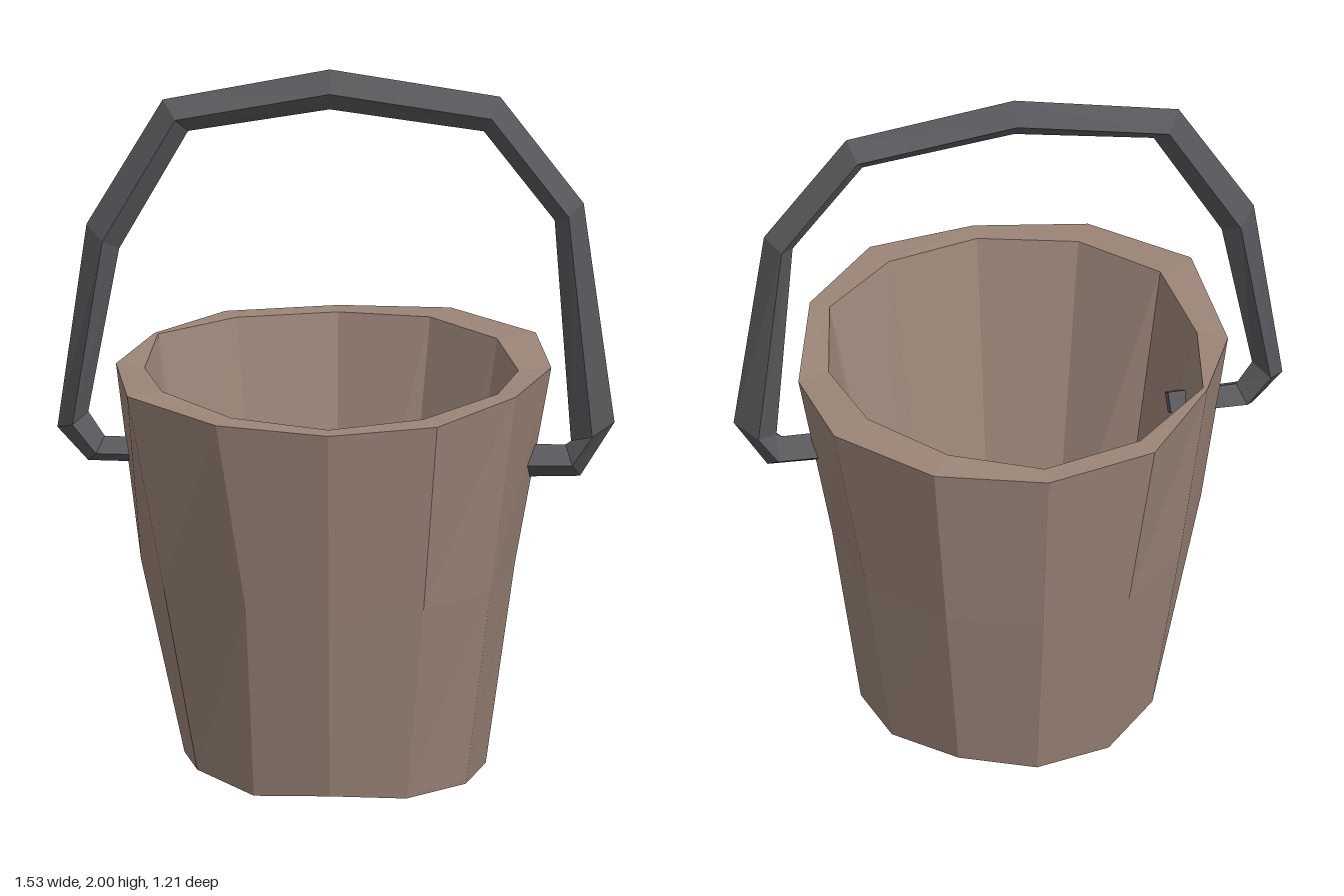
import * as THREE from 'three';

const wood = new THREE.MeshStandardMaterial({ color: 0x9c8578 });
wood.name = 'weathered wood';
const iron = new THREE.MeshStandardMaterial({ color: 0x58575b });
iron.name = 'dark iron';

// Skins a list of equal-length rings (arrays of [x, y, z]) into a faceted surface.
function loft(rings) {
  const pos = [];
  const n = rings[0].length;
  for (let r = 0; r < rings.length - 1; r++) {
    for (let i = 0; i < n; i++) {
      const j = (i + 1) % n;
      const a = rings[r][i], b = rings[r][j], c = rings[r + 1][j], d = rings[r + 1][i];
      // Skip the collapsed half of quads that meet a centre point
      if (r > 0) pos.push(...a, ...b, ...c);
      if (r < rings.length - 2) pos.push(...a, ...c, ...d);
      if (r === 0) pos.push(...a, ...c, ...d);
      if (r === rings.length - 2) pos.push(...a, ...b, ...c);
    }
  }
  const g = new THREE.BufferGeometry();
  g.setAttribute('position', new THREE.Float32BufferAttribute(pos, 3));
  g.computeVertexNormals();
  return g;
}

const centre = (ring) => {
  const m = [0, 1, 2].map((k) => ring.reduce((s, p) => s + p[k], 0) / ring.length);
  return ring.map(() => m);
};

// Combines plan points [x, z] with heights (one, or one per point)
const ring = (plan, y) => plan.map(([x, z], i) => [x, Array.isArray(y) ? y[i] : y, z]);

// Hand-hewn twelve-sided bucket; each ring starts at the front and runs towards +x
function makeBucket() {
  const base = ring([[-0.01, 0.41], [0.2, 0.36], [0.36, 0.2], [0.41, 0], [0.36, -0.21], [0.2, -0.36],
    [-0.01, -0.415], [-0.22, -0.36], [-0.37, -0.2], [-0.42, 0], [-0.38, 0.2], [-0.22, 0.36]],
  [0.03, 0.01, 0.005, 0.005, 0.02, 0.03, 0.01, 0.01, 0.03, 0.03, 0.04, 0.015]);
  const middle = ring([[-0.01, 0.51], [0.25, 0.45], [0.43, 0.26], [0.49, 0], [0.44, -0.26], [0.25, -0.45],
    [-0.01, -0.52], [-0.26, -0.45], [-0.44, -0.25], [-0.54, -0.01], [-0.47, 0.27], [-0.24, 0.45]], 0.58);
  const rimHeights = [1.125, 1.135, 1.15, 1.135, 1.15, 1.15, 1.135, 1.14, 1.15, 1.135, 1.15, 1.135];
  const rimOuter = ring([[-0.01, 0.6], [0.29, 0.54], [0.5, 0.3], [0.59, -0.03], [0.54, -0.31], [0.3, -0.54],
    [-0.01, -0.605], [-0.32, -0.525], [-0.51, -0.28], [-0.61, -0.04], [-0.57, 0.32], [-0.32, 0.54]], rimHeights);
  const rimInner = ring([[-0.01, 0.54], [0.25, 0.465], [0.45, 0.27], [0.5, 0], [0.435, -0.25], [0.245, -0.45],
    [-0.01, -0.54], [-0.29, -0.465], [-0.5, -0.27], [-0.53, 0], [-0.475, 0.27], [-0.28, 0.465]], rimHeights);
  const floor = ring([[-0.01, 0.33], [0.15, 0.28], [0.26, 0.16], [0.31, 0], [0.29, -0.165], [0.155, -0.295],
    [-0.01, -0.33], [-0.19, -0.295], [-0.32, -0.17], [-0.37, 0], [-0.335, 0.19], [-0.18, 0.28]], 0.09);
  return loft([centre(base), base, middle, rimOuter, rimInner, floor, centre(floor)]);
}

// Diamond-section bail: each station is outer x, y, inner x, y and half depth
function makeHandle() {
  const stations = [
    [-0.45, 0.865, -0.45, 0.935, 0.05],
    [-0.685, 0.87, -0.64, 0.94, 0.055],
    [-0.77, 0.965, -0.685, 1.01, 0.055],
    [-0.69, 1.55, -0.6, 1.48, 0.052],
    [-0.48, 1.91, -0.41, 1.82, 0.05],
    [-0.02, 2.0, -0.02, 1.885, 0.048],
    [0.45, 1.925, 0.405, 1.825, 0.05],
    [0.68, 1.62, 0.6, 1.57, 0.052],
    [0.765, 0.99, 0.645, 0.935, 0.055],
    [0.67, 0.835, 0.63, 0.925, 0.055],
    [0.43, 0.83, 0.43, 0.925, 0.055],
  ];
  const z0 = 0.005;
  const rings = stations.map(([ox, oy, ix, iy, h]) => {
    const mx = (ox + ix) / 2, my = (oy + iy) / 2;
    return [[ox, oy, z0], [mx, my, z0 + h], [ix, iy, z0], [mx, my, z0 - h]];
  });
  return loft([centre(rings[0]), ...rings, centre(rings[rings.length - 1])]);
}

export function createModel() {
  const model = new THREE.Group();
  model.name = 'bucket';
  const add = (name, geometry, material) => {
    const mesh = new THREE.Mesh(geometry, material);
    mesh.name = name;
    model.add(mesh);
  };
  add('bucketBody', makeBucket(), wood);
  add('handle', makeHandle(), iron);
  return model;
}
